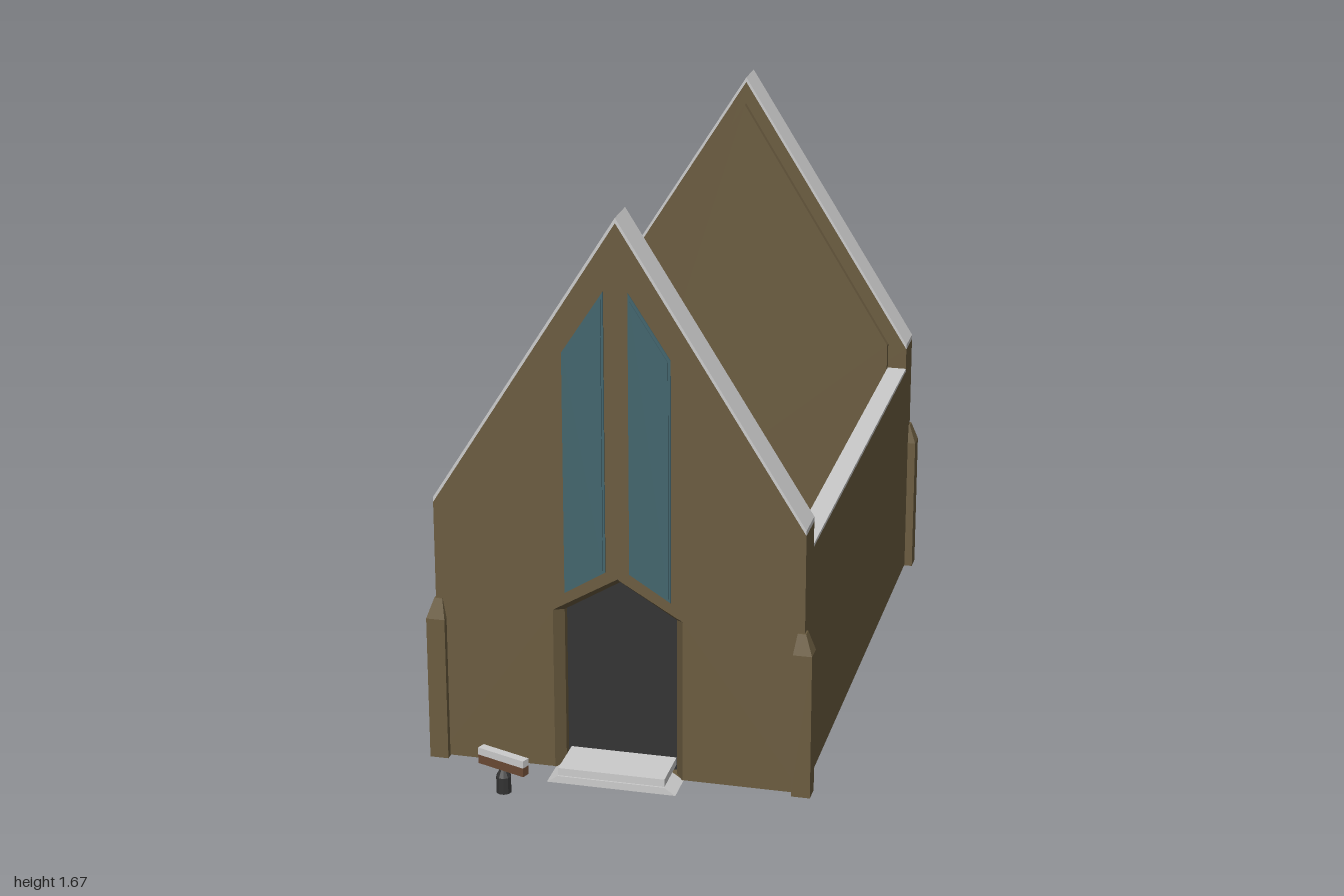
import * as THREE from 'three';

const mat = (color) => new THREE.MeshStandardMaterial({ color, flatShading: true });

export function createModel() {
  const model = new THREE.Group();
  const stone = mat(0x6b5c40), grey = mat(0xcccccc), dark = mat(0x333333);
  const glass = mat(0x43656d), wood = mat(0x6b4a35);

  const add = (name, geometry, material, parent = model) => {
    const mesh = new THREE.Mesh(geometry, material);
    mesh.name = name;
    parent.add(mesh);
    return mesh;
  };
  const outline = (pts) => pts.map(([x, y]) => new THREE.Vector2(x, y));
  // Polygon in x-y pulled from z0 to z1
  const slab = (name, pts, z0, z1, material, hole) => {
    const shape = new THREE.Shape(outline(pts));
    if (hole) shape.holes.push(new THREE.Path(outline(hole)));
    const g = new THREE.ExtrudeGeometry(shape, { depth: z1 - z0, bevelEnabled: false });
    return add(name, g.translate(0, 0, z0), material);
  };
  const box = (name, x0, x1, y0, y1, z0, z1, material, parent) => {
    const g = new THREE.BoxGeometry(x1 - x0, y1 - y0, z1 - z0);
    return add(name, g.translate((x0 + x1) / 2, (y0 + y1) / 2, (z0 + z1) / 2), material, parent);
  };
  // Box whose top face has its own x and z limits
  const taper = (name, [x0, x1, z0, z1], [tx0, tx1, tz0, tz1], y0, y1, material) => {
    const g = new THREE.BoxGeometry(2, 2, 2), p = g.attributes.position;
    for (let i = 0; i < p.count; i++) {
      const top = p.getY(i) > 0, right = p.getX(i) > 0, front = p.getZ(i) > 0;
      p.setXYZ(i,
        top ? (right ? tx1 : tx0) : (right ? x1 : x0),
        top ? y1 : y0,
        top ? (front ? tz1 : tz0) : (front ? z1 : z0));
    }
    g.computeVertexNormals();
    return add(name, g, material);
  };
  // Open ring of quads joining two outlines at different depths
  const reveal = (name, a, za, b, zb, material) => {
    const v = [];
    for (let i = 0; i + 1 < a.length; i++) {
      const q = [[...a[i], za], [...a[i + 1], za], [...b[i + 1], zb], [...b[i], zb]];
      for (const k of [0, 1, 2, 0, 2, 3]) v.push(...q[k]);
    }
    const g = new THREE.BufferGeometry();
    g.setAttribute('position', new THREE.Float32BufferAttribute(v, 3));
    g.computeVertexNormals();
    const m = material.clone();
    m.side = THREE.DoubleSide;
    return add(name, g, m);
  };
  const house = (w, eave, peak, base = 0.003) =>
    [[-w, base], [w, base], [w, eave], [0, peak], [-w, eave]];
  const arch = (w, eave, peak, base = 0.003) =>
    [[w, base], [w, eave], [0, peak], [-w, eave], [-w, base]];

  // Gable walls with a smaller inner layer and a thin coping
  const doorway = arch(0.165, 0.49, 0.59, 0.006);
  const outerDoor = arch(0.19, 0.5, 0.612);
  const frontHole = arch(0.188, 0.499, 0.61, 0.004);
  const coping = [[0.54, 0.795], [0.54, 0.81], [0, 1.67], [-0.54, 0.81], [-0.54, 0.795], [0, 1.655]];
  slab('frontGable', house(0.54, 0.795, 1.655), 0.665, 0.775, stone, frontHole);
  slab('frontGableInner', house(0.48, 0.81, 1.585), 0.64, 0.665, stone);
  slab('backGable', house(0.54, 0.795, 1.655), -0.975, -0.865, stone);
  slab('backGableInner', house(0.48, 0.81, 1.585), -0.865, -0.845, stone);
  slab('frontCoping', coping, 0.665, 0.775, grey);
  slab('backCoping', coping, -0.975, -0.865, grey);

  // Side walls with light tops
  for (const s of [-1, 1]) {
    const [a, b] = s > 0 ? [0.48, 0.54] : [-0.54, -0.48];
    box('sideWall', a, b, 0.003, 0.718, -0.866, 0.666, stone);
    box('sideWallTop', a, b, 0.718, 0.728, -0.865, 0.665, grey);
  }

  // Corner buttresses with sloped caps
  for (const sx of [-1, 1]) {
    for (const sz of [-1, 1]) {
      const zIn = sz > 0 ? 0.74 : 0.945, zOut = sz > 0 ? 0.795 : 1.0;
      const foot = (xi, xo, zi, zo) => [
        Math.min(sx * xi, sx * xo), Math.max(sx * xi, sx * xo),
        Math.min(sz * zi, sz * zo), Math.max(sz * zi, sz * zo)];
      const lower = foot(0.51, 0.565, zIn, zOut);
      const upper = foot(0.52, 0.544, zIn + 0.01, zOut - 0.016);
      taper('buttress', lower, lower, 0, 0.44, stone);
      taper('buttressCap', lower, upper, 0.44, 0.5, stone);
    }
  }

  // Pointed doorway: slanted surround and recessed door
  reveal('doorSurround', outerDoor, 0.78, doorway, 0.745, stone);
  reveal('doorReveal', doorway, 0.745, doorway, 0.715, stone);
  slab('door', doorway, 0.7, 0.72, dark);

  // Mirrored pair of tall slanted windows
  for (const s of [-1, 1]) {
    const pane = [[0.155, 0.555], [0.155, 1.275], [0.035, 1.46], [0.035, 0.63]];
    const inset = [[0.149, 0.568], [0.149, 1.271], [0.041, 1.438], [0.041, 0.636]];
    const flip = (pts) => pts.map(([x, y]) => [x * s, y]);
    slab('windowFrame', flip(pane), 0.77, 0.78, glass);
    slab('windowPane', flip(inset), 0.78, 0.785, glass);
  }

  // Door step
  taper('stepBase', [-0.19, 0.19, 0.77, 0.87], [-0.157, 0.157, 0.77, 0.87], 0, 0.022, grey);
  box('stepTop', -0.157, 0.157, 0.022, 0.045, 0.72, 0.865, grey);

  // Small sign on a round post
  const sign = new THREE.Group();
  sign.name = 'sign';
  sign.position.set(-0.292, 0, 0.957);
  sign.rotation.y = -0.36;
  box('signBoard', -0.08, 0.08, 0.073, 0.1, -0.013, 0.013, wood, sign);
  box('signTop', -0.08, 0.08, 0.1, 0.122, -0.013, 0.013, grey, sign);
  add('signPost', new THREE.CylinderGeometry(0.022, 0.022, 0.05, 10).translate(0, 0.025, 0), dark, sign);
  add('signNeck', new THREE.CylinderGeometry(0.009, 0.022, 0.024, 10).translate(0, 0.062, 0), dark, sign);
  model.add(sign);

  return model;
}
